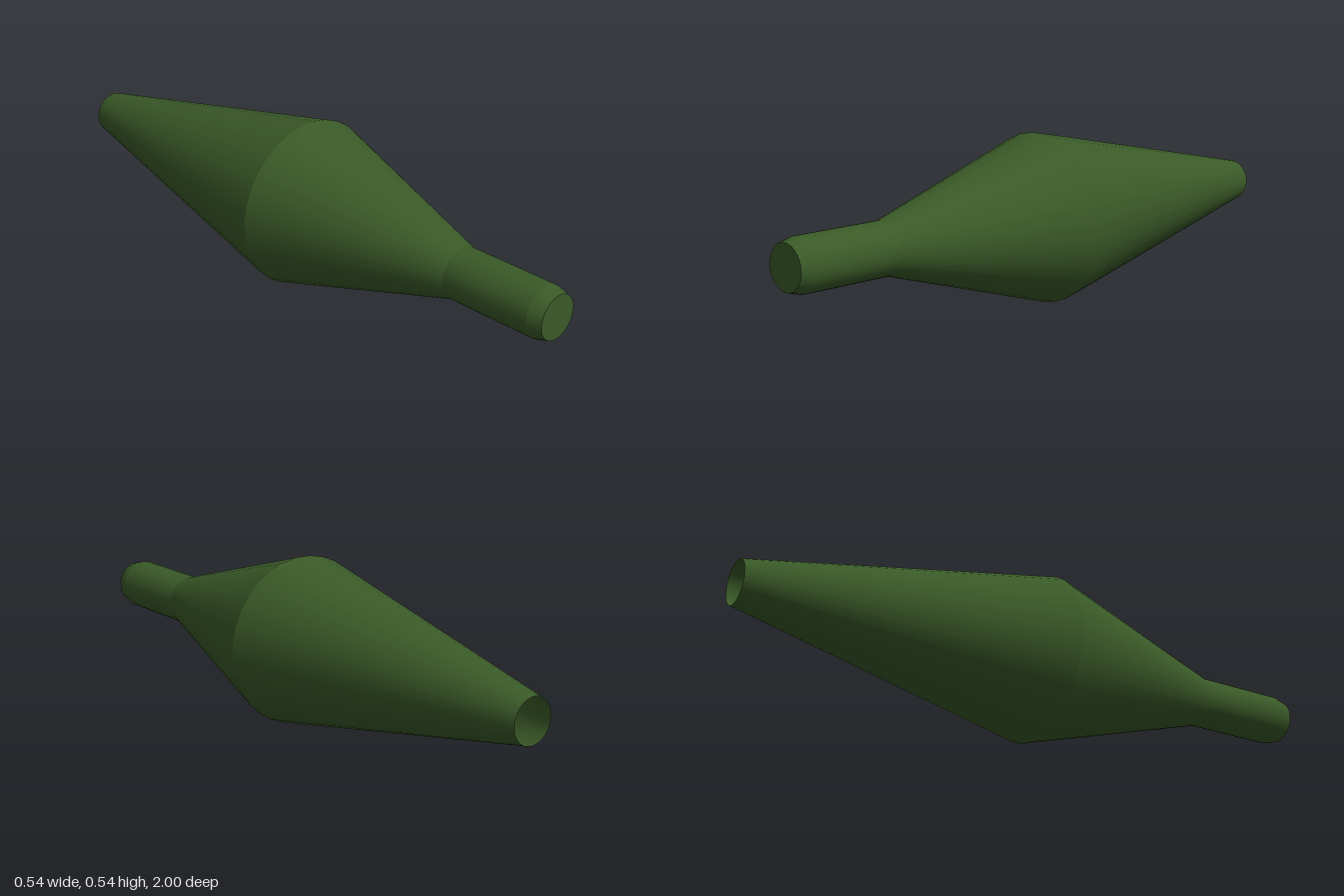
import * as THREE from 'three';

const SIDES = 32;

export function createModel() {
  const model = new THREE.Group();
  model.name = 'spindleBody';
  const material = new THREE.MeshStandardMaterial({ color: 0x3a5a28, side: THREE.DoubleSide });

  // Sections along the long axis: name, back z, back radius, front z, front radius
  const sections = [
    ['rearCone', -1, 0.07, 0.01, 0.271],
    ['frontCone', 0.01, 0.271, 0.65, 0.082],
    ['neck', 0.65, 0.082, 0.955, 0.082],
    ['neckBevel', 0.955, 0.082, 1, 0.07],
  ];
  for (const [name, z0, r0, z1, r1] of sections) {
    const geometry = new THREE.CylinderGeometry(r1, r0, z1 - z0, SIDES, 1, true, Math.PI / SIDES);
    geometry.rotateX(Math.PI / 2).translate(0, 0, (z0 + z1) / 2);
    const mesh = new THREE.Mesh(geometry, material);
    mesh.name = name;
    model.add(mesh);
  }

  // Flat front end; the rear stays open
  const cap = new THREE.Mesh(new THREE.CircleGeometry(0.07, SIDES, Math.PI / SIDES), material);
  cap.name = 'frontCap';
  cap.position.z = 1;
  model.add(cap);

  // The axis leans very slightly to the side and up toward the front
  model.rotation.set(-0.0035, -0.0132, 0);
  model.position.y = 0.271;

  const group = new THREE.Group();
  group.add(model);
  return group;
}
